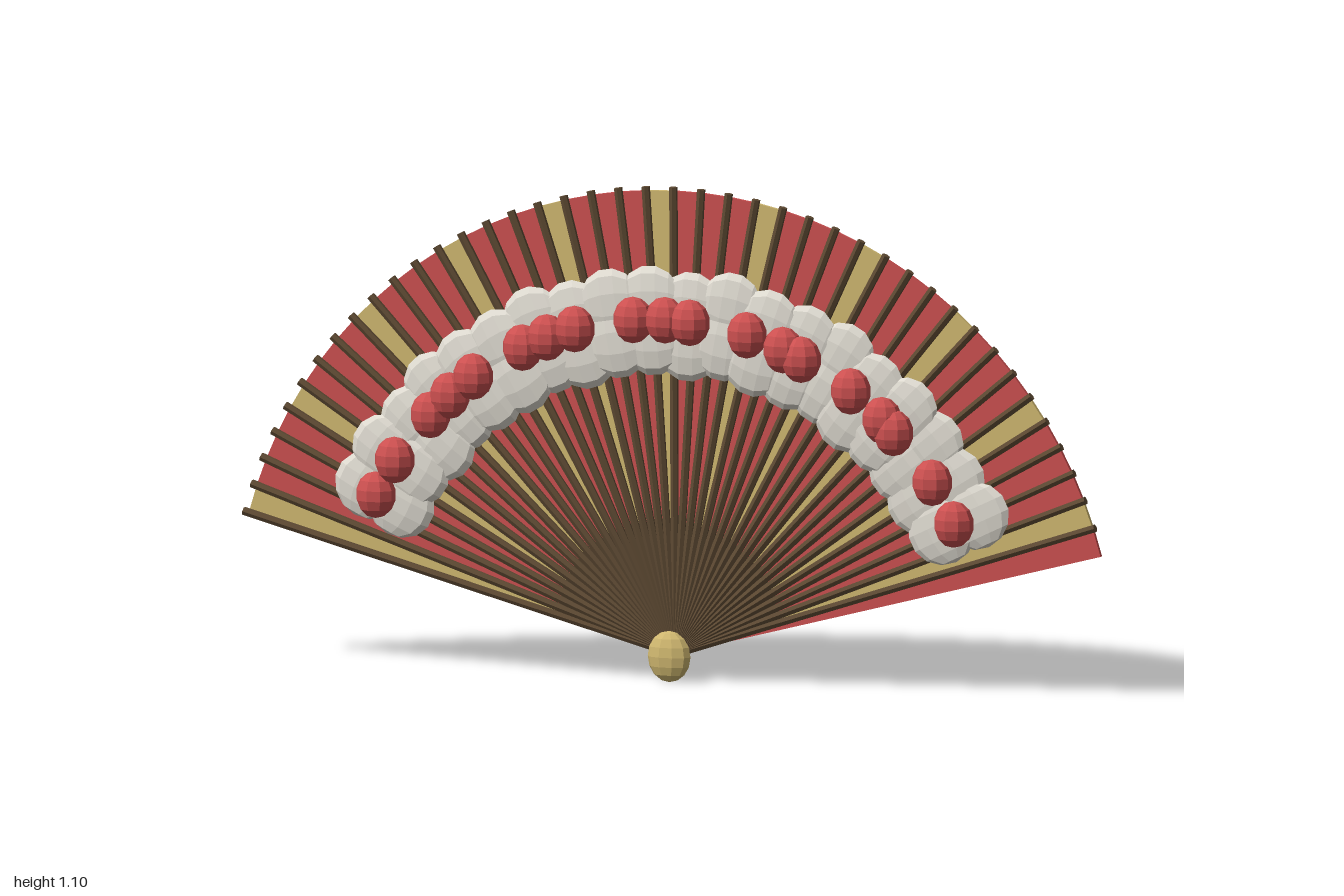
import * as THREE from 'three';

const PIVOT_Y = 0.058;
const SEGMENTS = 42;
const START = THREE.MathUtils.degToRad(165);
const STEP = THREE.MathUtils.degToRad(150) / SEGMENTS;

const material = (color, flatShading = true) => new THREE.MeshStandardMaterial({ color, flatShading });

// Point on the fan at a radius and angle from the pivot
const polar = (r, a, z) => new THREE.Vector3(r * Math.cos(a), PIVOT_Y + r * Math.sin(a), z);

export function createModel() {
  const fan = new THREE.Group();
  fan.name = 'foldingFan';
  const red = material(0xcc5050);
  const gold = material(0xd0b870);
  const wood = material(0x5e4a33);
  const white = material(0xe0dcd2);

  // Leaf: flat wedges, every fourth one gold
  const leaf = new THREE.Group();
  leaf.name = 'leaf';
  const wedge = new THREE.Shape();
  wedge.moveTo(0, 0);
  wedge.lineTo(1.03 * Math.cos(STEP), -1.03 * Math.sin(STEP));
  wedge.lineTo(1.03, 0);
  wedge.closePath();
  const wedgeGeo = new THREE.ExtrudeGeometry(wedge, { depth: 0.01, bevelEnabled: false });
  for (let i = 0; i < SEGMENTS; i++) {
    const panel = new THREE.Mesh(wedgeGeo, i % 4 === 0 ? gold : red);
    panel.name = i % 4 === 0 ? 'goldPanel' : 'redPanel';
    panel.position.set(0, PIVOT_Y, -0.058);
    panel.rotation.z = START - i * STEP;
    leaf.add(panel);
  }
  fan.add(leaf);

  // Ribs: thin sticks leaning slightly forward from the pivot
  const ribs = new THREE.Group();
  ribs.name = 'ribs';
  const ribGeo = new THREE.CylinderGeometry(0.0095, 0.0095, 1.04, 6);
  const up = new THREE.Vector3(0, 1, 0);
  for (let i = 0; i < SEGMENTS; i++) {
    const a = START - i * STEP;
    const inner = polar(0, a, -0.051);
    const outer = polar(1.04, a, -0.039);
    const rib = new THREE.Mesh(ribGeo, wood);
    rib.name = 'rib';
    rib.position.lerpVectors(inner, outer, 0.5);
    rib.quaternion.setFromUnitVectors(up, outer.sub(inner).normalize());
    ribs.add(rib);
  }
  fan.add(ribs);

  // Blossom band: two overlapping rows of flattened white petals
  const blossoms = new THREE.Group();
  blossoms.name = 'blossomBand';
  const petalGeo = new THREE.SphereGeometry(1, 10, 7);
  const PETALS = 20;
  for (let i = 0; i < PETALS; i++) {
    const a = THREE.MathUtils.degToRad(154 - (128 * i) / (PETALS - 1));
    for (const [r, z] of [[0.785, -0.021], [0.7, -0.018]]) {
      const petal = new THREE.Mesh(petalGeo, white);
      petal.name = 'petal';
      petal.position.copy(polar(r + 0.008 * Math.sin(i * 2.4), a, z + 0.003 * Math.sin(i * 1.7)));
      petal.scale.set(0.08, 0.075, 0.018);
      petal.rotation.z = a;
      blossoms.add(petal);
    }
  }
  fan.add(blossoms);

  // Berries: seven clusters along the band, as angle lists in degrees
  const berries = new THREE.Group();
  berries.name = 'berries';
  const berryGeo = new THREE.SphereGeometry(1, 9, 7);
  const clusters = [
    [154, 147], [137, 132, 126.5], [116.4, 111.5, 106.2], [95.8, 90, 85.5],
    [75.4, 68.5, 64.9], [54.9, 47.6, 44.7], [34.1, 26.2],
  ];
  clusters.flat().forEach((deg, i) => {
    const berry = new THREE.Mesh(berryGeo, red);
    berry.name = 'berry';
    berry.position.copy(polar(0.752, THREE.MathUtils.degToRad(deg), 0.017 + 0.004 * Math.sin(i * 2.1)));
    berry.scale.set(0.046, 0.052, 0.039);
    berries.add(berry);
  });
  fan.add(berries);

  // Pivot bead
  const bead = new THREE.Mesh(new THREE.SphereGeometry(1, 10, 8), gold);
  bead.name = 'pivotBead';
  bead.position.set(0, PIVOT_Y, -0.011);
  bead.scale.set(0.05, 0.057, 0.027);
  fan.add(bead);

  return fan;
}
